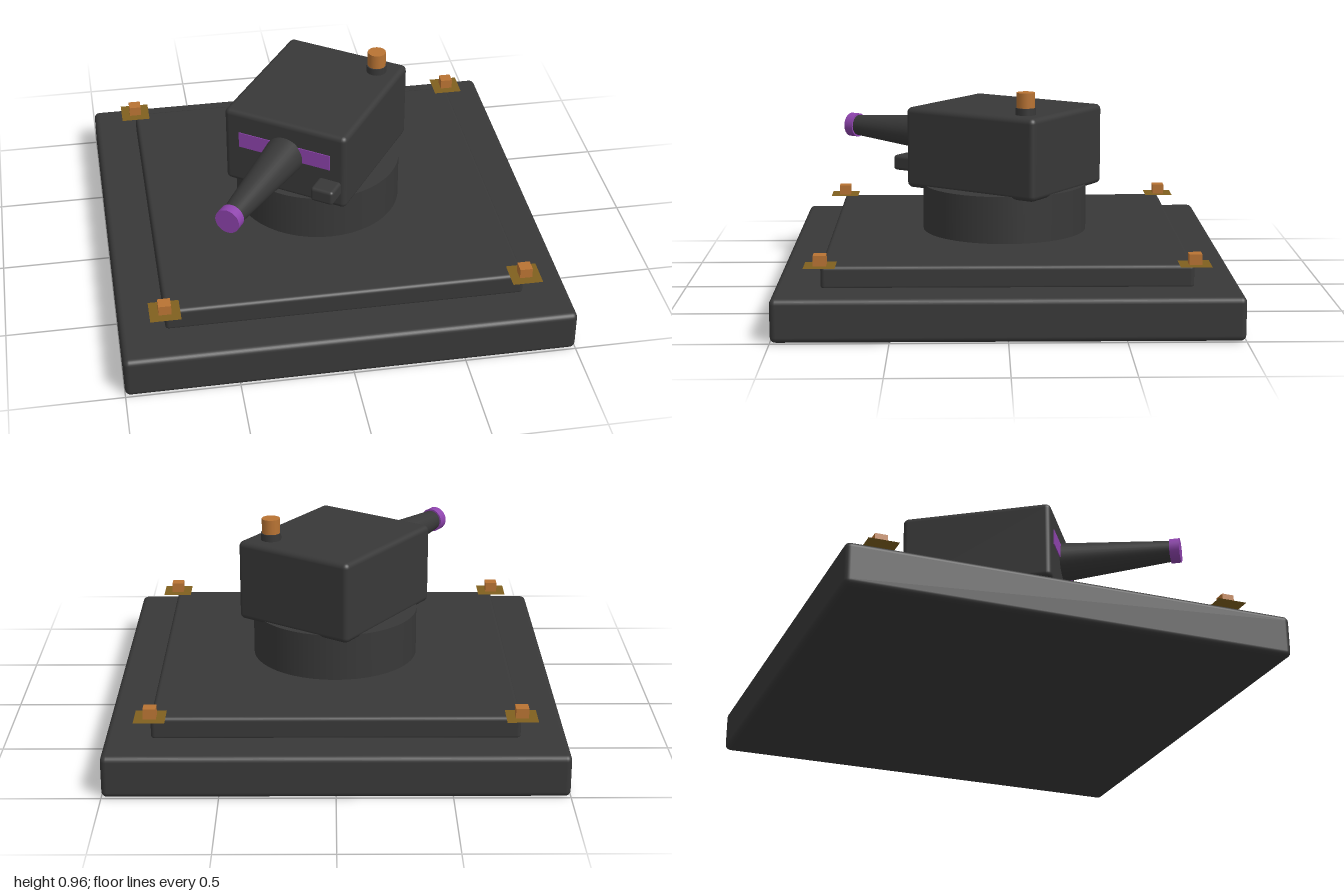
import * as THREE from 'three';
import { RoundedBoxGeometry } from 'three/addons/geometries/RoundedBoxGeometry.js';

const material = (name, color, side = THREE.FrontSide) => {
  const m = new THREE.MeshStandardMaterial({ color, side });
  m.name = name;
  return m;
};

export function createModel() {
  const dark = material('charcoal', 0x383838);
  const purple = material('purple', 0x8e44ad);
  const copper = material('copper', 0xb87333);
  const gold = material('dull gold', 0x80601f, THREE.DoubleSide);

  const model = new THREE.Group();
  model.name = 'turret';

  const add = (parent, name, geometry, mat, x, y, z) => {
    const mesh = new THREE.Mesh(geometry, mat);
    mesh.name = name;
    mesh.position.set(x, y, z);
    parent.add(mesh);
    return mesh;
  };
  const rounded = (w, h, d, r) => new RoundedBoxGeometry(w, h, d, 3, r);

  // Stepped base and round pedestal
  add(model, 'baseSlab', rounded(2, 0.19, 2, 0.025), dark, 0, 0.095, 0);
  add(model, 'upperSlab', rounded(1.6, 0.105, 1.6, 0.018), dark, 0, 0.2325, 0);
  add(model, 'pedestal', new THREE.CylinderGeometry(0.38, 0.38, 0.23, 48), dark, 0, 0.385, 0);

  // Corner studs on thin gold pads
  for (const x of [-0.8, 0.8]) {
    for (const z of [-0.8, 0.8]) {
      const pad = add(model, 'cornerPad', new THREE.PlaneGeometry(0.135, 0.135), gold, x, 0.29, z);
      pad.rotation.x = -Math.PI / 2;
      add(model, 'cornerStud', new THREE.BoxGeometry(0.056, 0.045, 0.056), copper, x, 0.314, z);
    }
  }

  // Rotating head, turned to its right
  const head = new THREE.Group();
  head.name = 'head';
  head.rotation.y = -0.6;
  model.add(head);
  add(head, 'housing', rounded(0.6, 0.375, 0.7, 0.025), dark, 0, 0.6725, 0);
  add(head, 'frontStripe', new THREE.BoxGeometry(0.45, 0.075, 0.008), purple, 0, 0.717, 0.35);
  add(head, 'sensor', rounded(0.11, 0.07, 0.12, 0.015), dark, 0.224, 0.59, 0.38);

  // Tapered barrel with muzzle ring
  const barrel = add(head, 'barrel', new THREE.CylinderGeometry(0.048, 0.092, 0.53, 32), dark, 0, 0.695, 0.605);
  barrel.rotation.x = Math.PI / 2;
  const muzzle = add(head, 'muzzle', new THREE.CylinderGeometry(0.057, 0.057, 0.046, 32), purple, 0, 0.695, 0.88);
  muzzle.rotation.x = Math.PI / 2;

  // Beacon on the roof
  add(head, 'beaconBase', new THREE.CylinderGeometry(0.047, 0.047, 0.05, 16), dark, 0.19, 0.867, -0.24);
  add(head, 'beacon', new THREE.CylinderGeometry(0.042, 0.042, 0.07, 16), copper, 0.19, 0.925, -0.24);

  return model;
}
